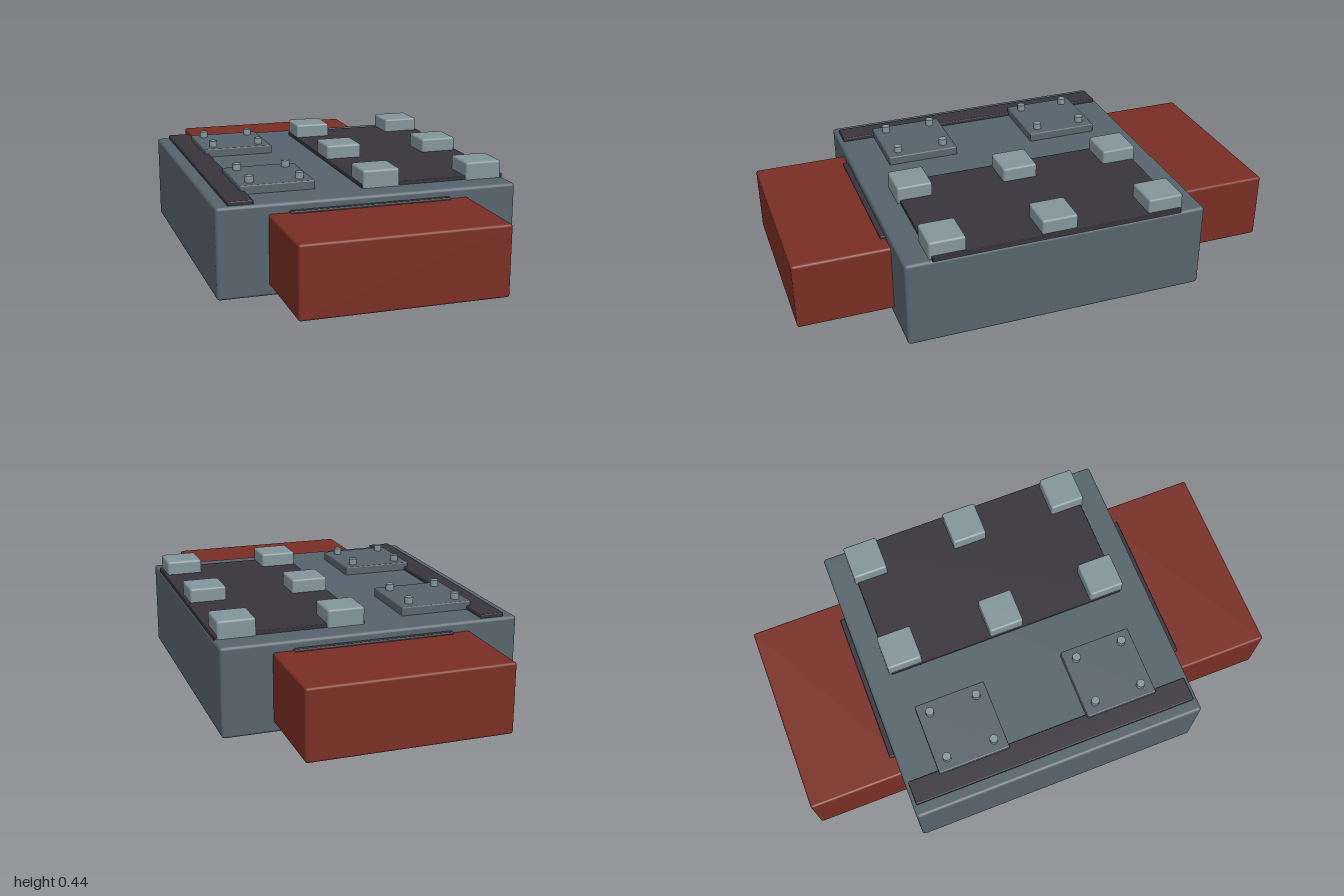
import * as THREE from 'three';
import { RoundedBoxGeometry } from 'three/addons/geometries/RoundedBoxGeometry.js';

export function createModel() {
  const model = new THREE.Group();
  model.name = 'armouredModule';

  const paint = (name, color) => {
    const m = new THREE.MeshStandardMaterial({ color });
    m.name = name;
    return m;
  };
  const steel = paint('blueGreySteel', 0x56636c);
  const red = paint('rustRed', 0x782e24);
  const dark = paint('darkRubber', 0x37343a);
  const pale = paint('paleSteel', 0x82959a);

  // Bevelled box given by its [min, max] extents on each axis
  function block(name, material, [x0, x1], [y0, y1], [z0, z1], bevel) {
    const geometry = new RoundedBoxGeometry(x1 - x0, y1 - y0, z1 - z0, 2, bevel);
    const mesh = new THREE.Mesh(geometry, material);
    mesh.position.set((x0 + x1) / 2, (y0 + y1) / 2, (z0 + z1) / 2);
    mesh.name = name;
    model.add(mesh);
  }

  // Main housing
  block('housing', steel, [-0.6, 0.6], [0.015, 0.373], [-0.618, 0.618], 0.013);

  // Parts mirrored front and back
  for (const s of [1, -1]) {
    const span = (a, b) => (s > 0 ? [a, b] : [-b, -a]);
    block('endBlock', red, [-0.4, 0.4], [0.055, 0.333], span(0.55, 1), 0.01);
    block('endSeal', dark, [-0.32, 0.32], [0.3, 0.342], span(0.6, 0.638), 0.004);
    block('bottomSkid', dark, [-0.425, 0.425], [0, 0.025], span(0.298, 0.345), 0.003);
  }

  // Long rail and wide panel on the top
  block('sideRail', dark, [-0.55, -0.452], [0.36, 0.388], [-0.603, 0.6], 0.004);
  block('topPanel', dark, [0, 0.597], [0.36, 0.387], [-0.514, 0.51], 0.003);

  // Pads in two rows of three
  for (const x of [0.003, 0.435]) {
    for (const z of [-0.45, -0.003, 0.447]) {
      block('pad', pale, [x, x + 0.15], [0.36, 0.444], [z - 0.073, z + 0.073], 0.009);
    }
  }

  // Two bolted access plates
  const boltGeometry = new THREE.CylinderGeometry(0.017, 0.017, 0.04, 16);
  for (const z of [-0.325, 0.315]) {
    block('accessPlate', steel, [-0.47, -0.173], [0.36, 0.408], [z - 0.15, z + 0.15], 0.005);
    for (const dx of [-0.1, 0.1]) {
      for (const dz of [-0.1, 0.1]) {
        const bolt = new THREE.Mesh(boltGeometry, pale);
        bolt.position.set(-0.322 + dx, 0.414, z + dz);
        bolt.name = 'bolt';
        model.add(bolt);
      }
    }
  }

  return model;
}
